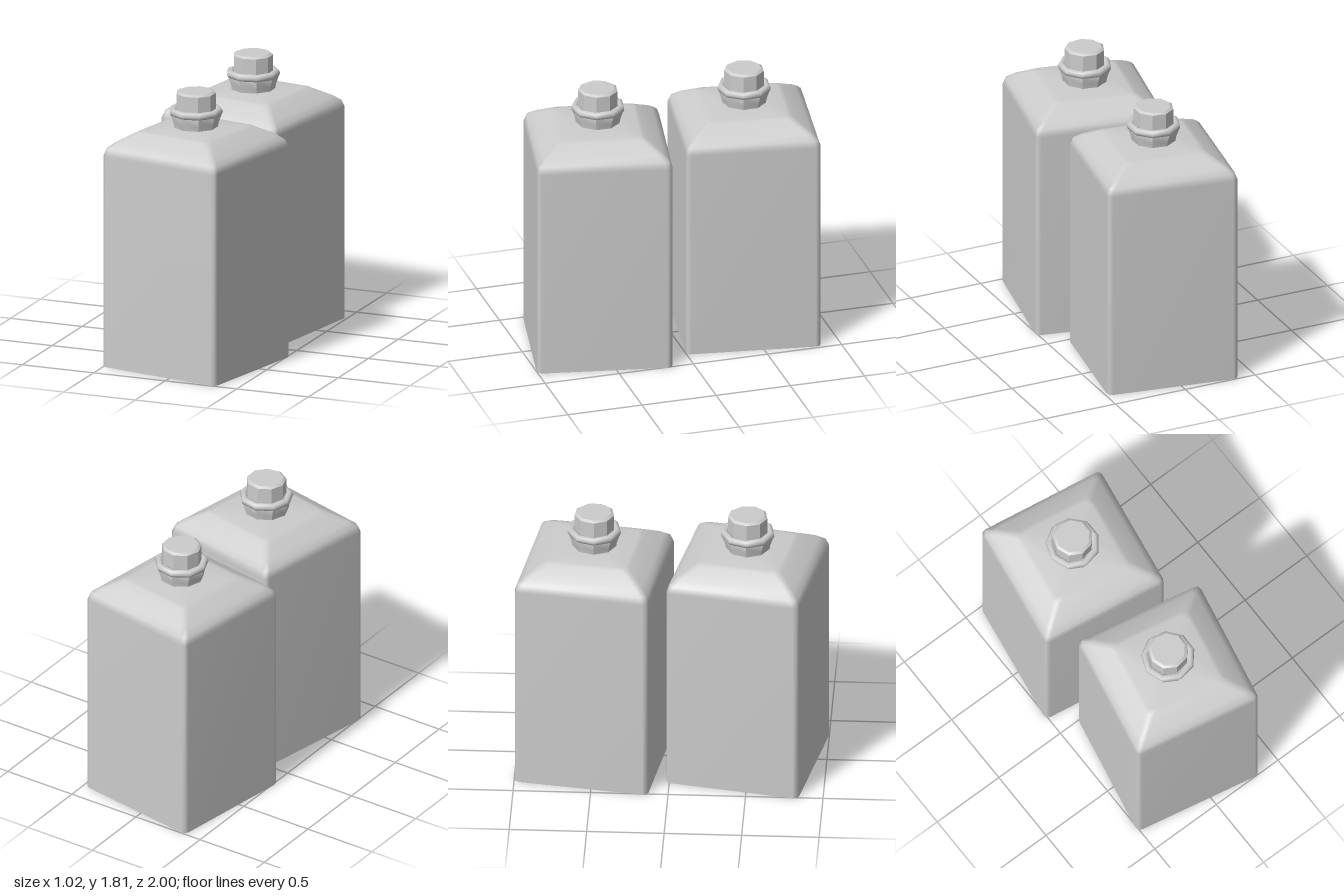
import * as THREE from 'three';
import { toCreasedNormals } from 'three/addons/utils/BufferGeometryUtils.js';

const SIDES = 9;
const material = new THREE.MeshStandardMaterial({ color: 0xcccccc });

// Square cross-section with rounded corners, three points per corner
function squareRing(half, radius, y) {
  const ring = [];
  for (let c = 0; c < 4; c++) {
    const mid = Math.PI / 4 + c * Math.PI / 2;
    const inset = (half - radius) * Math.SQRT2;
    for (let k = -1; k <= 1; k++) {
      const a = mid + k * Math.PI / 4;
      ring.push([
        inset * Math.cos(mid) + radius * Math.cos(a), y,
        inset * Math.sin(mid) + radius * Math.sin(a),
      ]);
    }
  }
  return ring;
}

// Skin a stack of rings with smooth normals
function loft(rings) {
  const n = rings[0].length, index = [];
  for (let r = 0; r < rings.length - 1; r++) {
    for (let i = 0; i < n; i++) {
      const a = r * n + i, b = r * n + (i + 1) % n;
      index.push(a, a + n, b, b, a + n, b + n);
    }
  }
  const geo = new THREE.BufferGeometry();
  geo.setAttribute('position', new THREE.Float32BufferAttribute(rings.flat(2), 3));
  geo.setIndex(index);
  geo.computeVertexNormals();
  return geo;
}

// Flat floor closing a ring, facing down
function floor(ring) {
  const index = [];
  for (let i = 1; i < ring.length - 1; i++) index.push(0, i, i + 1);
  const geo = new THREE.BufferGeometry();
  geo.setAttribute('position', new THREE.Float32BufferAttribute(ring.flat(), 3));
  geo.setIndex(index);
  geo.computeVertexNormals();
  return geo;
}

function lathe(points) {
  const profile = points.map(([x, y]) => new THREE.Vector2(x, y));
  return toCreasedNormals(new THREE.LatheGeometry(profile, SIDES), 0.6);
}

function createBottle() {
  const bottle = new THREE.Group();
  const add = (name, geo) => {
    const mesh = new THREE.Mesh(geo, material);
    mesh.name = name;
    bottle.add(mesh);
    return mesh;
  };

  // Body: straight walls, curved shoulder, nearly flat top
  const rings = [
    [0.44, 0.035, 0], [0.44, 0.035, 1.41], [0.425, 0.035, 1.455], [0.385, 0.035, 1.49],
    [0.28, 0.04, 1.555], [0.25, 0.05, 1.563], [0.13, 0.12, 1.575],
  ].map(([half, radius, y]) => squareRing(half, radius, y));
  add('body', loft(rings));
  add('base', floor(rings[0]));

  // Flared neck with a flat lip
  add('neck', lathe([[0.142, 1.56], [0.148, 1.6], [0.165, 1.65], [0.155, 1.69], [0.1, 1.695]]));

  // Rounded collar around the neck
  const collar = add('collar', new THREE.TorusGeometry(0.15, 0.026, 8, SIDES));
  collar.rotation.x = Math.PI / 2;
  collar.rotation.z = Math.PI / 2;
  collar.position.y = 1.675;

  // Cap with a bevelled rim
  add('cap', lathe([[0.13, 1.68], [0.13, 1.798], [0.112, 1.81], [0, 1.81]]));
  return bottle;
}

export function createModel() {
  const model = new THREE.Group();
  model.name = 'bottles';
  const layout = [
    ['frontBottle', 0, 0.49, -11],
    ['backBottle', -0.015, -0.5, -8.8],
  ];
  for (const [name, x, z, degrees] of layout) {
    const bottle = createBottle();
    bottle.name = name;
    bottle.position.set(x, 0, z);
    bottle.rotation.y = THREE.MathUtils.degToRad(degrees);
    model.add(bottle);
  }
  return model;
}
